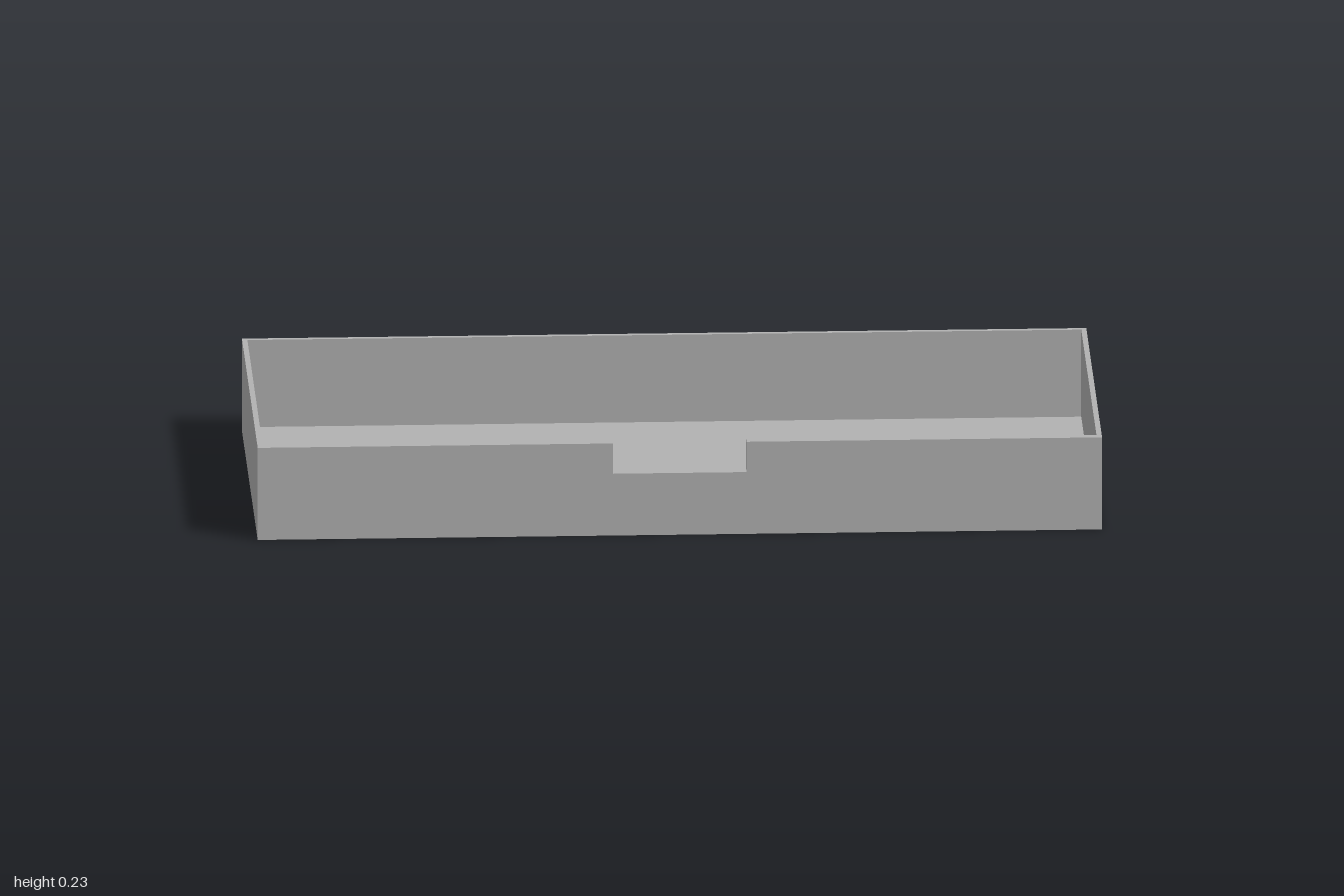
import * as THREE from 'three';

const W = 1, D = 0.44, H = 0.228;                // half width, half depth, height
const WALL = 0.0125, FRONT = 0.021, FLOOR = 0.0125;
const NOTCH_X = 0.158, NOTCH_Y = 0.153;          // notch half width and sill height

function shapeFrom(points) {
  return new THREE.Shape(points.map(([x, y]) => new THREE.Vector2(x, y)));
}

export function createModel() {
  const group = new THREE.Group();
  group.name = 'openTray';
  const grey = new THREE.MeshStandardMaterial({ color: 0xb2b2b2 });
  grey.name = 'plainGrey';

  const add = (name, geometry) => {
    const mesh = new THREE.Mesh(geometry, grey);
    mesh.name = name;
    group.add(mesh);
    return mesh;
  };

  // Floor plate between the walls
  const floorDepth = 2 * D - WALL - FRONT;
  add('floor', new THREE.BoxGeometry(2 * (W - WALL), FLOOR, floorDepth))
    .position.set(0, FLOOR / 2, (WALL - FRONT) / 2);

  // Back and side walls as one U-shaped plan, extruded upward
  const front = D - FRONT;
  const plan = shapeFrom([
    [-W, -front], [-W + WALL, -front], [-W + WALL, D - WALL], [W - WALL, D - WALL],
    [W - WALL, -front], [W, -front], [W, D], [-W, D],
  ]);
  const sides = new THREE.ExtrudeGeometry(plan, { depth: H, bevelEnabled: false });
  sides.rotateX(-Math.PI / 2);
  add('backAndSideWalls', sides);

  // Thicker front wall with the finger notch in its top edge
  const face = shapeFrom([
    [-W, 0], [W, 0], [W, H], [NOTCH_X, H], [NOTCH_X, NOTCH_Y],
    [-NOTCH_X, NOTCH_Y], [-NOTCH_X, H], [-W, H],
  ]);
  add('notchedFrontWall', new THREE.ExtrudeGeometry(face, { depth: FRONT, bevelEnabled: false }))
    .position.z = front;

  return group;
}
